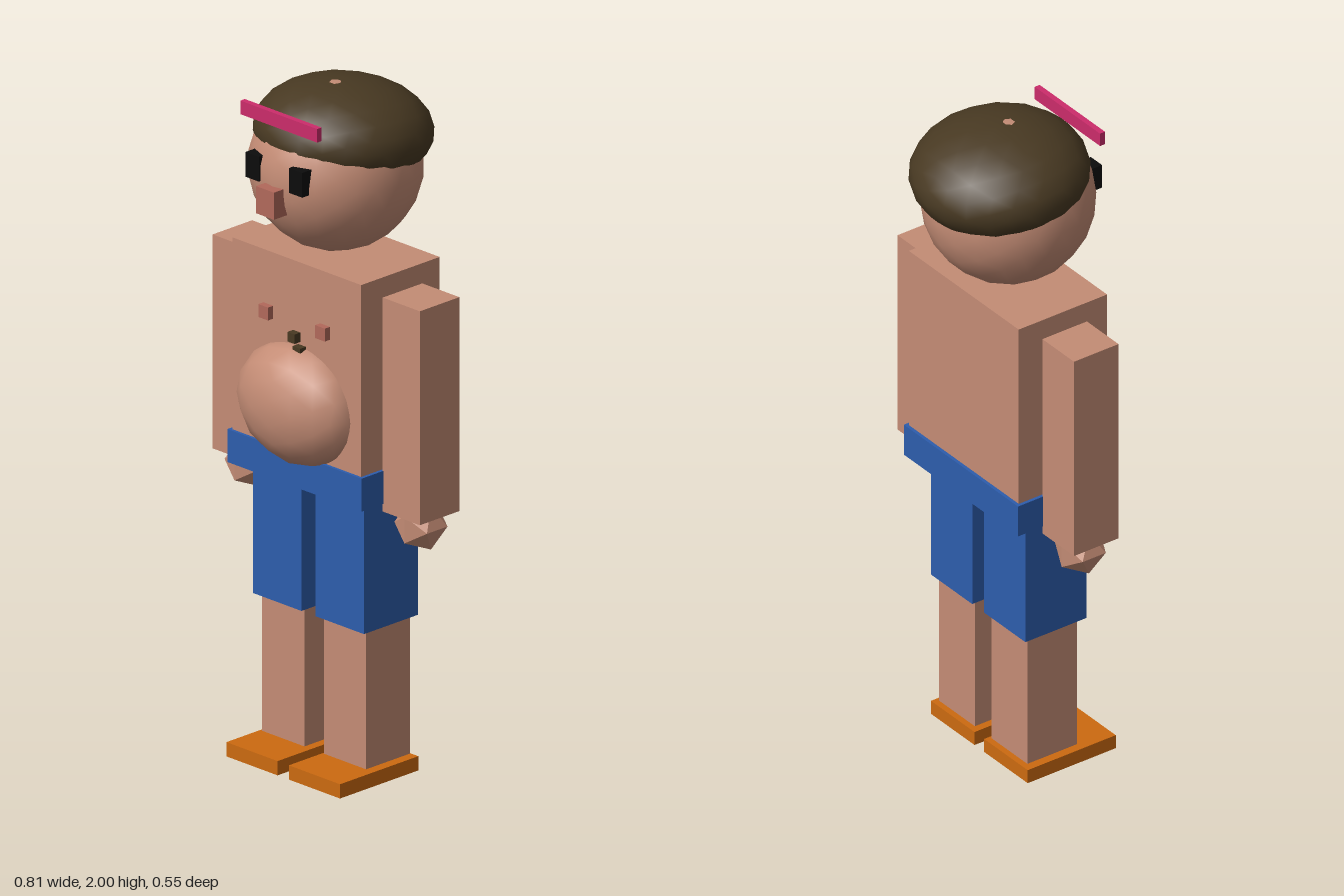
import * as THREE from 'three';

function material(name, color) {
  const m = new THREE.MeshStandardMaterial({ color });
  m.name = name;
  return m;
}

export function createModel() {
  const model = new THREE.Group();
  model.name = 'blockFigure';

  const skin = material('skin', 0xc48c75);
  const rose = material('rose', 0xb2695b);
  const brown = material('hairBrown', 0x483922);
  const black = material('eyeBlack', 0x0c0c0c);
  const blue = material('shortsBlue', 0x2d5dad);
  const orange = material('shoeOrange', 0xcc6a10);
  const pink = material('bandPink', 0xcc2c6b);

  function add(name, geometry, mat, x, y, z) {
    const mesh = new THREE.Mesh(geometry, mat);
    mesh.name = name;
    mesh.position.set(x, y, z);
    model.add(mesh);
    return mesh;
  }

  // Box given by its limits on each axis
  function box(name, mat, [x0, x1], [y0, y1], [z0, z1]) {
    return add(name, new THREE.BoxGeometry(x1 - x0, y1 - y0, z1 - z0), mat,
      (x0 + x1) / 2, (y0 + y1) / 2, (z0 + z1) / 2);
  }

  // Same box on both sides of the body
  function pair(name, mat, [x0, x1], y, z) {
    box(name + 'Left', mat, [x0, x1], y, z);
    box(name + 'Right', mat, [-x1, -x0], y, z);
  }

  // Body
  box('torso', skin, [-0.252, 0.252], [0.9, 1.51], [-0.147, 0.155]);
  box('waistband', blue, [-0.262, 0.262], [0.848, 0.945], [-0.157, 0.164]);
  const belly = add('belly', new THREE.IcosahedronGeometry(1, 2), skin, 0, 1.09, 0.14);
  belly.scale.set(0.214, 0.178, 0.128);

  // Arms and fists
  pair('arm', skin, [0.26, 0.405], [0.825, 1.455], [-0.072, 0.08]);
  for (const [side, s] of [['Left', 1], ['Right', -1]]) {
    add('fist' + side, new THREE.IcosahedronGeometry(0.075, 0), skin, s * 0.332, 0.787, 0.004);
  }

  // Legs
  pair('shortsLeg', blue, [0.027, 0.217], [0.46, 0.85], [-0.098, 0.11]);
  pair('leg', skin, [0.038, 0.203], [0.052, 0.47], [-0.081, 0.088]);
  pair('shoe', orange, [0.022, 0.222], [0.004, 0.046], [-0.094, 0.207]);

  // Chest details
  pair('nipple', rose, [0.092, 0.13], [1.315, 1.353], [0.15, 0.175]);
  box('bellyHairUpper', brown, [-0.014, 0.014], [1.276, 1.304], [0.15, 0.177]);
  box('bellyHairLower', brown, [0.006, 0.036], [1.254, 1.268], [0.15, 0.177]);

  // Head with a tilted, flattened cap of hair
  add('head', new THREE.IcosahedronGeometry(0.243, 3), skin, 0, 1.758, 0.004);
  const hair = add('hair', new THREE.IcosahedronGeometry(1, 3), brown, 0, 1.853, -0.025);
  hair.scale.set(0.251, 0.147, 0.251);
  hair.rotation.x = -0.08;

  // Face
  pair('eye', black, [0.059, 0.111], [1.752, 1.825], [0.205, 0.243]);
  box('nose', rose, [-0.035, 0.035], [1.675, 1.755], [0.215, 0.277]);
  box('headband', pink, [-0.15, 0.15], [1.92, 1.96], [0.207, 0.224]);

  return model;
}
